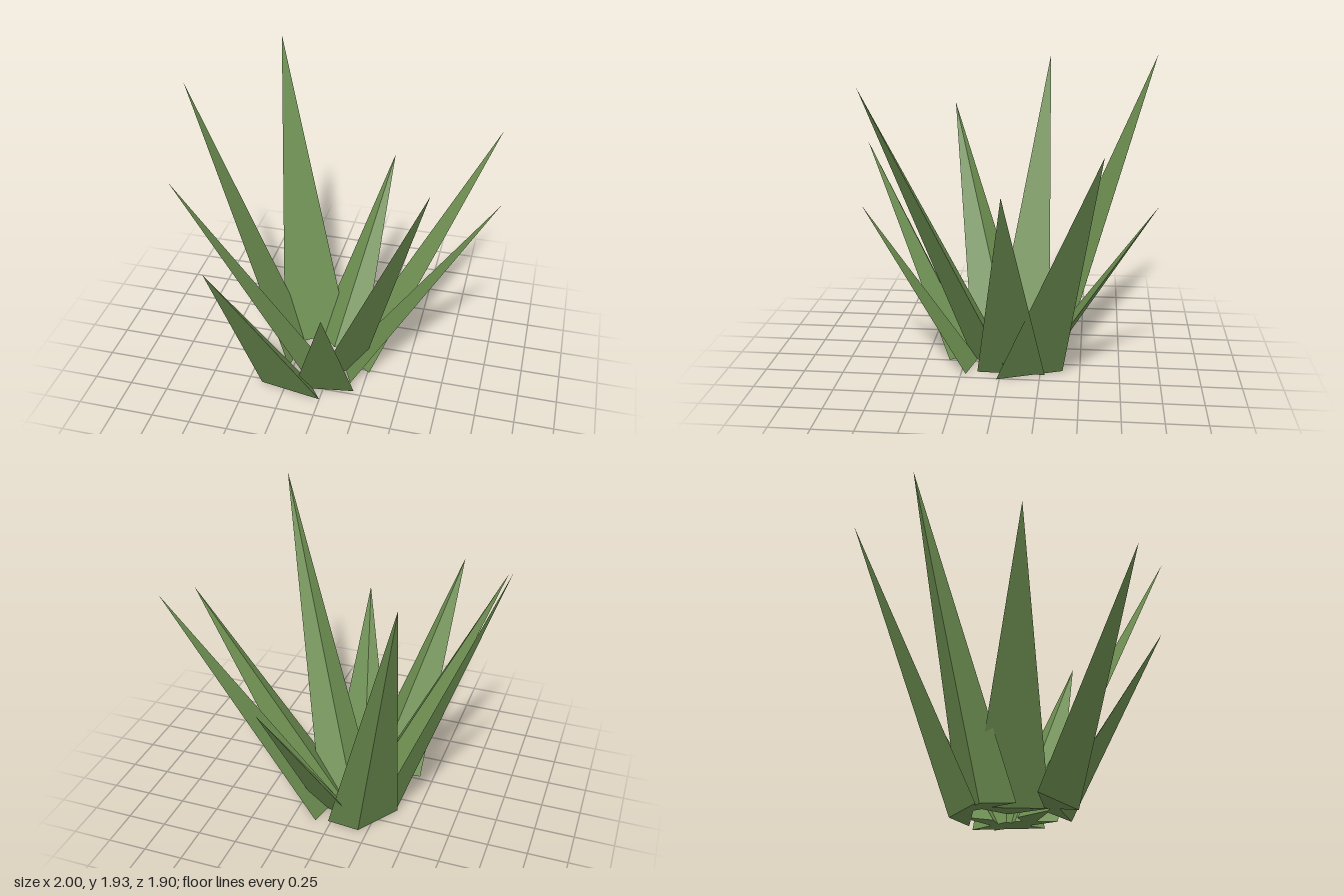
import * as THREE from 'three';
import { ConvexGeometry } from 'three/addons/geometries/ConvexGeometry.js';

// Each leaf: tip [x, y, z], then its base on the ground: two edge corners and the keel, each [x, z]
const leaves = [
  { tip: [-0.58, 1.93, -0.95], base: [[-0.37, -0.12], [0.02, -0.37], [-0.19, -0.39]] },
  { tip: [0.21, 1.14, -0.95], base: [[-0.18, -0.33], [0.17, -0.21], [-0.03, -0.18]] },
  { tip: [0.94, 1.59, -0.61], base: [[0.10, -0.39], [0.26, 0.02], [0.04, -0.13]] },
  { tip: [1.0, 1.38, -0.08], base: [[0.16, 0.15], [0.17, -0.28], [0.05, -0.08]] },
  { tip: [0.69, 1.89, 0.73], base: [[0.20, -0.06], [-0.07, 0.21], [-0.02, -0.03]] },
  { tip: [0.15, 1.08, 0.86], base: [[-0.19, 0.28], [0.20, 0.22], [-0.04, 0.17]] },
  { tip: [-0.48, 1.35, 0.95], base: [[-0.41, 0.28], [0.0, 0.35], [-0.12, 0.19]] },
  { tip: [-0.87, 1.55, 0.41], base: [[-0.31, -0.17], [-0.10, 0.21], [-0.10, -0.05]] },
  { tip: [-1.0, 1.87, -0.24], base: [[-0.24, -0.29], [-0.28, 0.09], [-0.36, -0.10]] },
];

export function createModel() {
  const plant = new THREE.Group();
  plant.name = 'spikyPlant';
  const green = new THREE.MeshStandardMaterial({ color: 0x6b8c4f, flatShading: true });

  // Pointed three-sided leaves fanning out from the middle
  leaves.forEach(({ tip, base }, i) => {
    const points = [
      new THREE.Vector3(...tip),
      ...base.map(([x, z]) => new THREE.Vector3(x, 0, z)),
    ];
    const leaf = new THREE.Mesh(new ConvexGeometry(points), green);
    leaf.name = `leaf${i + 1}`;
    plant.add(leaf);
  });
  return plant;
}
